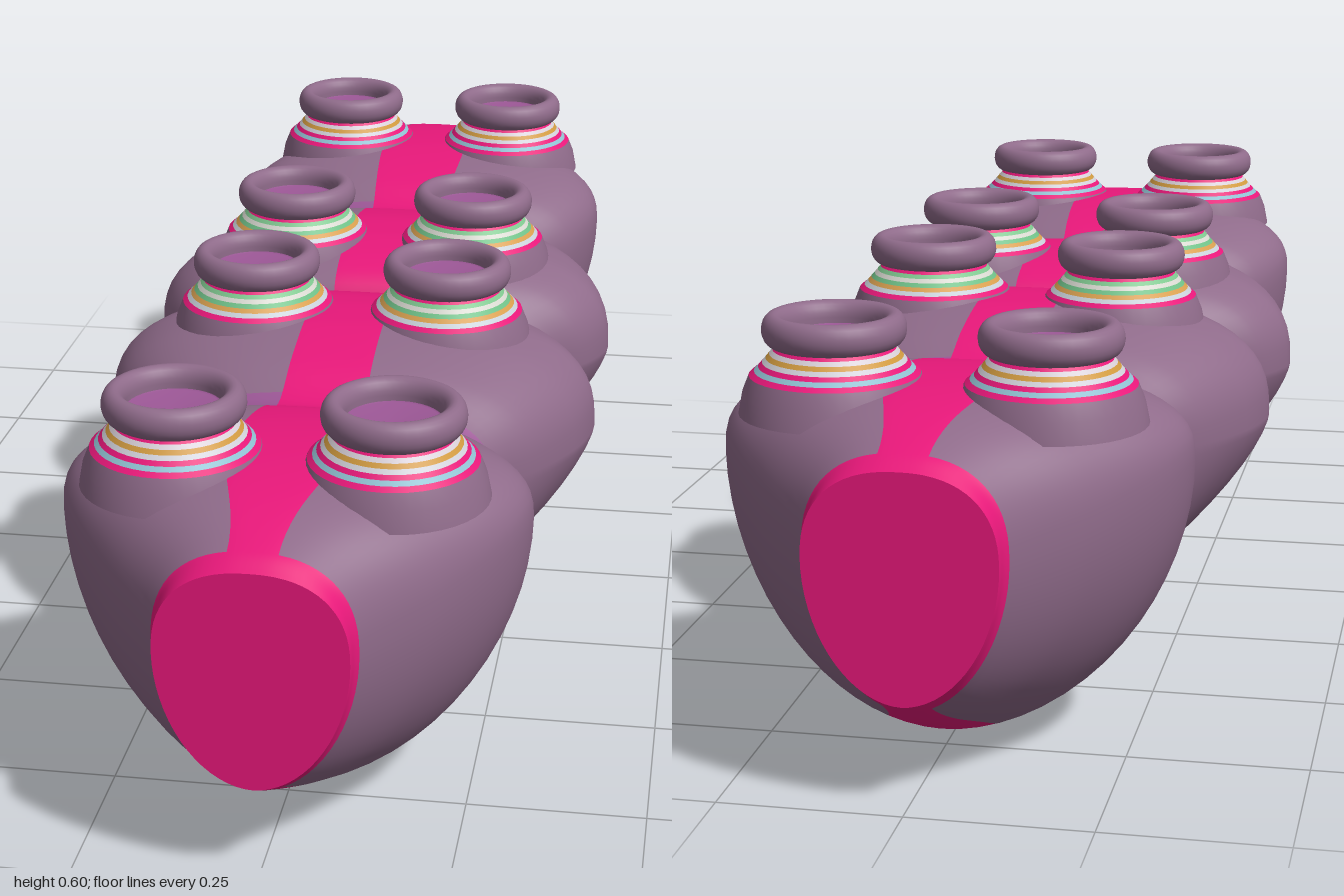
import * as THREE from 'three';

const mat = (color, side = THREE.FrontSide) => new THREE.MeshStandardMaterial({ color, side });
const MAUVE = 0x8f6b8a, PINK = 0xe8187a, VIOLET = 0x9c5796;

// Outline of one half of the body, from the middle to the end: z, half width, top, bottom
const OUTLINE = [
  [0, 0.265, 0.43, 0.17],
  [0.03, 0.285, 0.48, 0.08],
  [0.08, 0.34, 0.505, 0.045],
  [0.15, 0.375, 0.517, 0.022],
  [0.2, 0.375, 0.519, 0.01],
  [0.27, 0.355, 0.517, 0.003],
  [0.37, 0.3, 0.498, 0.018],
  [0.46, 0.235, 0.468, 0.06],
  [0.54, 0.288, 0.497, 0.023],
  [0.64, 0.325, 0.515, 0.008],
  [0.74, 0.305, 0.52, 0.022],
  [0.86, 0.227, 0.51, 0.075],
  [0.97, 0.135, 0.478, 0.134],
  [1, 0.128, 0.462, 0.152],
];

// Smooth interpolation between neighbouring outline rows
function refine(keys, steps) {
  const rows = [];
  const at = (i) => keys[Math.min(Math.max(i, 0), keys.length - 1)];
  for (let i = 0; i < keys.length - 1; i++) {
    const [p, a, b, q] = [at(i - 1), at(i), at(i + 1), at(i + 2)];
    const d = b[0] - a[0];
    for (let s = 0; s < steps; s++) {
      const t = s / steps, t2 = t * t, t3 = t2 * t;
      rows.push(a.map((v, k) => {
        if (k === 0) return v + d * t;
        const m0 = (b[k] - p[k]) / (b[0] - p[0]) * d, m1 = (q[k] - v) / (q[0] - a[0]) * d;
        return (2 * t3 - 3 * t2 + 1) * v + (t3 - 2 * t2 + t) * m0 + (3 * t2 - 2 * t3) * b[k] + (t3 - t2) * m1;
      }));
    }
  }
  rows.push(at(keys.length));
  return rows;
}

// Heart-like ring; the stripe edges always fall on the same ring indices
const STRIPE = 6, SIDE = 14, RING = 2 * STRIPE + 4 * SIDE;
function ringPoints([z, w, top, bottom]) {
  const dist = Math.abs(z), P = Math.PI;
  const outerLobe = Math.exp(-(((dist - 0.68) / 0.17) ** 2));
  const mid = 0.34 + 0.06 * outerLobe;
  const nU = 2.2 + 1.4 * w, nL = 1.4 + 0.5 * THREE.MathUtils.smoothstep(dist, 0.25, 0.55);
  const stripe = THREE.MathUtils.lerp(0.06 + 0.015 * outerLobe, 0.033, THREE.MathUtils.smoothstep(dist, 0.78, 0.97));
  const aT = Math.asin((stripe / w) ** (nU / 2)), aB = Math.asin((stripe / w) ** (nL / 2));
  const spans = [[-aT, aT, STRIPE], [aT, P / 2, SIDE], [P / 2, P - aB, SIDE],
    [P - aB, P + aB, STRIPE], [P + aB, 1.5 * P, SIDE], [1.5 * P, 2 * P - aT, SIDE]];
  const pts = [];
  for (const [from, to, count] of spans) {
    for (let i = 0; i < count; i++) {
      const a = from + (to - from) * i / count, sn = Math.sin(a), cs = Math.cos(a);
      const n = cs > 0 ? nU : nL, h = cs > 0 ? top - mid : mid - bottom;
      pts.push(new THREE.Vector2(
        w * Math.sign(sn) * Math.abs(sn) ** (2 / n),
        mid + h * Math.sign(cs) * Math.abs(cs) ** (2 / n)));
    }
  }
  return pts;
}

function buildBody(group) {
  const half = refine(OUTLINE, 6);
  const rows = [...half.slice(1).reverse().map((r) => [-r[0], ...r.slice(1)]), ...half];
  const pos = [], all = [], parts = { bodyShell: [], stripe: [], waistBands: [], endRims: [] };
  rows.forEach((r) => ringPoints(r).forEach((p) => pos.push(p.x, p.y, r[0])));
  const low = STRIPE + 2 * SIDE;
  for (let i = 0; i < rows.length - 1; i++) {
    const z = Math.abs(rows[i][0] + rows[i + 1][0]) / 2;
    for (let j = 0; j < RING; j++) {
      const k = (j + 1) % RING, a = i * RING + j, b = i * RING + k, c = a + RING, d = b + RING;
      const name = z > 0.97 ? 'endRims'
        : j < STRIPE || (j >= low && j < low + STRIPE) ? 'stripe'
          : z > 0.435 && z < 0.49 ? 'waistBands' : 'bodyShell';
      parts[name].push(a, c, b, b, c, d);
      all.push(a, c, b, b, c, d);
    }
  }
  // Normals come from the whole skin, so the coloured areas join smoothly
  const skin = new THREE.BufferGeometry();
  skin.setAttribute('position', new THREE.Float32BufferAttribute(pos, 3));
  skin.setIndex(all);
  skin.computeVertexNormals();
  const colors = { bodyShell: MAUVE, stripe: PINK, waistBands: VIOLET, endRims: PINK };
  for (const name in parts) {
    const mesh = new THREE.Mesh(skin.clone().setIndex(parts[name]), mat(colors[name]));
    mesh.name = name;
    group.add(mesh);
  }
  // Flat end caps
  const capGeo = new THREE.ShapeGeometry(new THREE.Shape(ringPoints(OUTLINE[OUTLINE.length - 1])));
  for (const s of [1, -1]) {
    const cap = new THREE.Mesh(capGeo, mat(PINK));
    cap.name = s > 0 ? 'frontCap' : 'backCap';
    cap.position.z = s;
    if (s < 0) cap.rotation.y = Math.PI;
    group.add(cap);
  }
}

function lathe(points, color, name) {
  const geo = new THREE.LatheGeometry(points.map(([r, y]) => new THREE.Vector2(r, y)), 40);
  const mesh = new THREE.Mesh(geo, mat(color, THREE.DoubleSide));
  mesh.name = name;
  return mesh;
}

// Short neck: flared foot, coloured rings, rolled lip and a recessed floor
function buildNeck(ringColors) {
  const neck = new THREE.Group();
  neck.add(lathe([[0.13, 0.47], [0.124, 0.5], [0.115, 0.522]], MAUVE, 'neckFoot'));
  const edge = (t) => [0.115 - 0.037 * t ** 0.85, 0.522 + 0.04 * t];
  ringColors.forEach((color, i) => {
    const n = ringColors.length;
    neck.add(lathe([edge(i / n), edge((i + 1) / n)], color, 'neckRing'));
  });
  const lip = [];
  for (let i = 0; i <= 16; i++) {
    const a = -Math.PI / 2 + 1.5 * Math.PI * i / 16;
    lip.push([0.081 + 0.016 * Math.cos(a), 0.583 + 0.022 * Math.sin(a)]);
  }
  neck.add(lathe([[0.078, 0.56], ...lip, [0.065, 0.572]], MAUVE, 'neckLip'));
  neck.add(lathe([[0, 0.571], [0.064, 0.573], [0.067, 0.58]], VIOLET, 'neckFloor'));
  return neck;
}

export function createModel() {
  const model = new THREE.Group();
  model.name = 'lobedVessel';
  buildBody(model);
  const outer = [PINK, 0x8fc0d0, PINK, 0xd0d0d8, 0xd09a40, 0xd8d0d8, PINK];
  const inner = [PINK, 0xc8d0d8, 0xd8a050, 0x70c088, 0xd8d8d0, 0x80c890, PINK];
  for (const x of [-0.147, 0.147]) {
    for (const z of [-0.75, -0.175, 0.175, 0.75]) {
      const neck = buildNeck(Math.abs(z) > 0.5 ? outer : inner);
      neck.name = 'neck';
      neck.position.set(x, 0, z);
      model.add(neck);
    }
  }
  return model;
}
